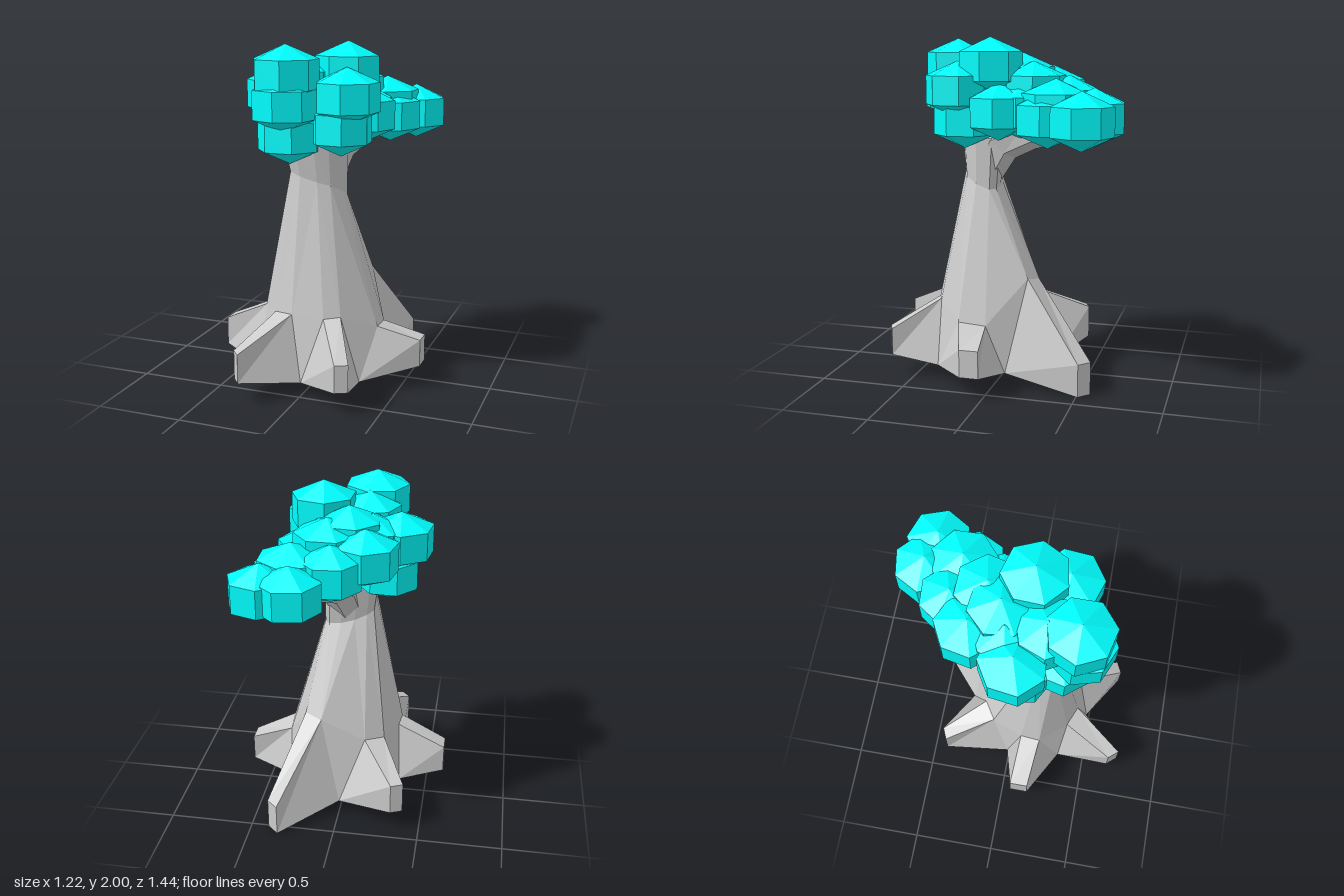
import * as THREE from 'three';

const bark = new THREE.MeshStandardMaterial({ color: 0xcccccc, flatShading: true });
const leaf = new THREE.MeshStandardMaterial({ color: 0x00ffff, flatShading: true });

// Six roots, clockwise from the model's left side: two tip corners [x, z],
// tip heights [low, high], and the two crest points where the root meets the trunk
const ROOTS = [
  { name: 'left', tip: [[0.605, 0.01], [0.605, 0.12]], y: [0.13, 0.29], crest: [[0.36, 0.36, 0.04], [0.37, 0.375, 0.2]] },
  { name: 'frontLeft', tip: [[0.34, 0.625], [0.27, 0.66]], y: [0.13, 0.29], crest: [[0.2, 0.46, 0.36], [0.11, 0.45, 0.4]] },
  { name: 'frontRight', tip: [[-0.28, 0.72], [-0.33, 0.66]], y: [0.13, 0.3], crest: [[-0.08, 0.46, 0.41], [-0.2, 0.45, 0.36]] },
  { name: 'right', tip: [[-0.61, 0.17], [-0.61, 0.06]], y: [0.13, 0.3], crest: [[-0.33, 0.43, 0.2], [-0.32, 0.43, 0.08]] },
  { name: 'backRight', tip: [[-0.4, -0.405], [-0.33, -0.435]], y: [0.13, 0.32], crest: [[-0.25, 0.45, -0.11], [-0.14, 0.46, -0.18]] },
  { name: 'backLeft', tip: [[0.33, -0.57], [0.395, -0.51]], y: [0, 0.19], crest: [[0.12, 0.6, -0.22], [0.22, 0.62, -0.175]] },
];

// Ground points between neighbouring roots; entry i comes before root i
const VALLEYS = [[0.34, -0.07], [0.31, 0.35], [0, 0.48], [-0.31, 0.33], [-0.34, -0.01], [0, -0.3]]
  .map(([x, z]) => [x, 0.08, z]);

// Narrow ring of the trunk, one point above each crest point
const NECK = [
  [0.14, 1.12, 0.08], [0.14, 1.15, 0.16], [0.09, 1.19, 0.23], [0.02, 1.21, 0.26],
  [-0.08, 1.24, 0.27], [-0.15, 1.26, 0.24], [-0.16, 1.25, 0.16], [-0.15, 1.2, 0.1],
  [-0.11, 1.18, 0.07], [-0.04, 1.15, 0.05], [0.04, 1.13, 0.04], [0.11, 1.12, 0.045],
];

// Sections of the limb reaching backwards: centre, radius, backward tilt
const LIMB = [
  [0.01, 1.15, 0.15, 0.1, 0], [0.05, 1.37, 0.03, 0.11, 0.7],
  [0.12, 1.45, -0.15, 0.095, 1.1], [0.25, 1.5, -0.42, 0.065, 1.4],
];

// Foliage clumps: centre x, y, z and radius
const CLUMPS = [
  [-0.13, 1.825, 0.35, 0.19], [0.14, 1.835, 0.07, 0.187], [0.195, 1.7, 0.25, 0.185],
  [-0.305, 1.685, 0.03, 0.19], [-0.13, 1.66, 0.37, 0.185], [-0.14, 1.475, 0.27, 0.185],
  [-0.235, 1.475, 0.06, 0.18], [0.15, 1.525, 0.22, 0.18], [0.215, 1.58, 0.0, 0.18],
  [0.25, 1.61, -0.34, 0.19], [0.28, 1.55, -0.3, 0.185], [0.22, 1.56, -0.55, 0.18],
  [0.385, 1.55, -0.51, 0.18], [0.03, 1.62, -0.37, 0.175], [-0.14, 1.67, -0.24, 0.185],
  [0.08, 1.7, -0.17, 0.19], [-0.15, 1.69, -0.04, 0.18], [-0.03, 1.745, -0.08, 0.185],
  [-0.11, 1.75, 0.18, 0.18], [0.17, 1.585, -0.13, 0.17],
];

function facetMesh(name, triangles) {
  const geometry = new THREE.BufferGeometry();
  geometry.setAttribute('position', new THREE.Float32BufferAttribute(triangles.flat(2), 3));
  geometry.computeVertexNormals();
  const mesh = new THREE.Mesh(geometry, bark);
  mesh.name = name;
  return mesh;
}

// Corners run counter-clockwise seen from outside
const quad = (a, b, c, d) => [[a, b, c], [a, c, d]];

// Distance of an edge's middle from the trunk's axis
const reach = (p, q) => Math.hypot((p[0] + q[0]) / 2, (p[2] + q[2]) / 2 - 0.155);

// Side faces between two closed rings, split along the fuller diagonal
function band(low, high) {
  return low.flatMap((p, i) => {
    const j = (i + 1) % low.length;
    return reach(low[j], high[i]) > reach(p, high[j])
      ? quad(low[j], p, high[i], high[j])
      : quad(p, high[i], high[j], low[j]);
  });
}

function createRoot(root, before, after) {
  const [[lowA, lowB], [topA, topB]] = root.y.map((y) => root.tip.map(([x, z]) => [x, y, z]));
  const [crestA, crestB] = root.crest;
  return facetMesh(root.name + 'Root', [
    ...quad(lowA, before, crestA, topA),
    ...quad(lowB, lowA, topA, topB),
    ...quad(after, lowB, topB, crestB),
    ...quad(topB, topA, crestA, crestB),
  ]);
}

function createTrunk() {
  const crests = ROOTS.flatMap((r) => r.crest);
  const top = NECK.map(([x, , z]) => [x * 1.1 - 0.015, 1.42, 0.155 + (z - 0.155) * 1.2]);
  const triangles = [...band(crests, NECK), ...band(NECK, top)];
  // Wedges running down between the roots
  ROOTS.forEach((r, i) => {
    const j = (i + 1) % ROOTS.length;
    triangles.push([VALLEYS[j], r.crest[1], ROOTS[j].crest[0]]);
  });
  // Top cap
  top.forEach((p, i) => triangles.push([[0, 1.45, 0.15], top[(i + 1) % top.length], p]));
  return facetMesh('trunk', triangles);
}

function createUnderside() {
  const outline = ROOTS.flatMap((r, i) => [VALLEYS[i], ...r.tip.map(([x, z]) => [x, r.y[0], z])]);
  return facetMesh('underside', outline.map((p, i) => [[0, 0.08, 0.1], p, outline[(i + 1) % outline.length]]));
}

function createLimb() {
  const rings = LIMB.map(([x, y, z, r, tilt]) => Array.from({ length: 6 }, (_, k) => {
    const a = (k + 0.5) * Math.PI / 3;
    const s = r * Math.sin(a);
    return [x + r * Math.cos(a), y + s * Math.sin(tilt), z + s * Math.cos(tilt)];
  }));
  return facetMesh('backLimb', rings.slice(1).flatMap((ring, i) => band(rings[i], ring)));
}

export function createModel() {
  const model = new THREE.Group();
  model.name = 'tree';
  model.add(createTrunk(), createUnderside(), createLimb());

  const roots = new THREE.Group();
  roots.name = 'roots';
  ROOTS.forEach((r, i) => roots.add(createRoot(r, VALLEYS[i], VALLEYS[(i + 1) % VALLEYS.length])));
  model.add(roots);

  // Seven-sided clumps with pointed caps
  const foliage = new THREE.Group();
  foliage.name = 'foliage';
  const clump = new THREE.SphereGeometry(1, 7, 3);
  CLUMPS.forEach(([x, y, z, r], i) => {
    const mesh = new THREE.Mesh(clump, leaf);
    mesh.name = 'leafClump' + (i + 1);
    mesh.position.set(x, y, z);
    mesh.scale.set(r / 0.866, 0.164, r / 0.866);
    mesh.rotation.y = i * 1.3;
    foliage.add(mesh);
  });
  model.add(foliage);
  return model;
}
